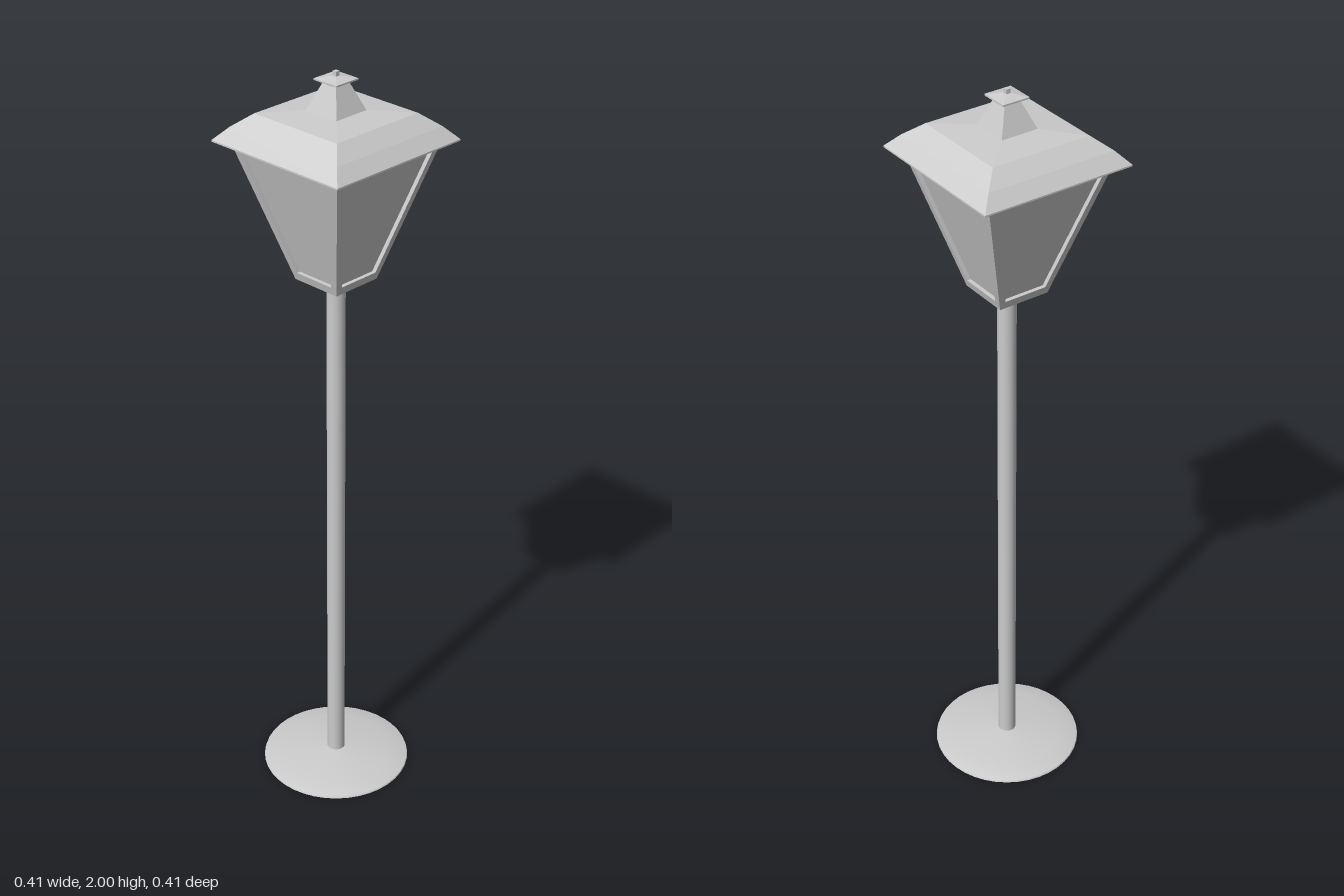
import * as THREE from 'three';

const V = (x, y) => new THREE.Vector2(x, y);
const material = new THREE.MeshStandardMaterial({ color: 0xcccccc, flatShading: true });
const smooth = new THREE.MeshStandardMaterial({ color: 0xcccccc, side: THREE.DoubleSide });

// Square solid from [half width, height] pairs, listed so that outer walls run upward
function squareTurned(name, profile) {
  const points = profile.map(([half, y]) => V(half * Math.SQRT2, y));
  const geometry = new THREE.LatheGeometry(points, 4).rotateY(Math.PI / 4);
  const mesh = new THREE.Mesh(geometry, material);
  mesh.name = name;
  return mesh;
}

// Lantern body: outer half width at a height
const LOW = 1.47, HIGH = 1.825, BAR = 0.018;
const halfAt = (y) => THREE.MathUtils.mapLinear(y, LOW, HIGH, 0.07, 0.175);

// Corner bar: a box sheared to follow the lantern's flare
function cornerBarGeometry(y0, y1) {
  const geometry = new THREE.BoxGeometry(1, 1, 1);
  const p = geometry.attributes.position;
  for (let i = 0; i < p.count; i++) {
    const y = p.getY(i) < 0 ? y0 : y1;
    const h = halfAt(y);
    p.setXYZ(i, h + (p.getX(i) - 0.5) * BAR, y, h + (p.getZ(i) - 0.5) * BAR);
  }
  geometry.computeVertexNormals();
  return geometry;
}

export function createModel() {
  const model = new THREE.Group();
  model.name = 'streetLamp';

  // Shallow domed foot, hollow underneath
  const foot = new THREE.Mesh(
    new THREE.LatheGeometry([V(0.2, 0), V(0.198, 0.006), V(0.15, 0.014), V(0.09, 0.022), V(0.023, 0.028)], 40),
    smooth);
  foot.name = 'foot';
  model.add(foot);

  // Open tube pole
  const pole = new THREE.Mesh(new THREE.CylinderGeometry(0.024, 0.024, LOW - 0.024, 20, 1, true), smooth);
  pole.name = 'pole';
  pole.position.y = (LOW + 0.024) / 2;
  model.add(pole);

  // Lantern: tray, recessed panes, corner bars and top rail
  const lantern = new THREE.Group();
  lantern.name = 'lantern';
  const trayTop = 1.492, railLow = 1.805;
  lantern.add(squareTurned('tray', [[0, LOW], [halfAt(LOW), LOW], [halfAt(trayTop), trayTop], [0, trayTop]]));
  lantern.add(squareTurned('panes', [[halfAt(trayTop) - 0.011, trayTop], [halfAt(HIGH) - 0.011, HIGH]]));
  lantern.add(squareTurned('topRail',
    [[halfAt(railLow) - BAR, railLow], [halfAt(railLow), railLow], [halfAt(HIGH), HIGH], [0, HIGH]]));
  const barGeometry = cornerBarGeometry(trayTop, railLow);
  for (let i = 0; i < 4; i++) {
    const bar = new THREE.Mesh(barGeometry, material);
    bar.name = 'cornerBar';
    bar.rotation.y = i * Math.PI / 2;
    lantern.add(bar);
  }
  model.add(lantern);

  // Roof with steep eaves and a nearly flat crown
  model.add(squareTurned('roof',
    [[0, 1.827], [0.207, 1.827], [0.207, 1.831], [0.176, 1.864], [0.135, 1.897], [0, 1.908]]));

  // Chimney, its cap plate and the tip
  model.add(squareTurned('chimney', [[0.051, 1.902], [0.022, 1.972], [0, 1.972]]));
  model.add(squareTurned('cap', [[0, 1.968], [0.022, 1.97], [0.037, 1.978], [0.037, 1.982], [0, 1.99]]));
  model.add(squareTurned('tip', [[0.006, 1.985], [0.006, 2], [0, 2]]));

  return model;
}
